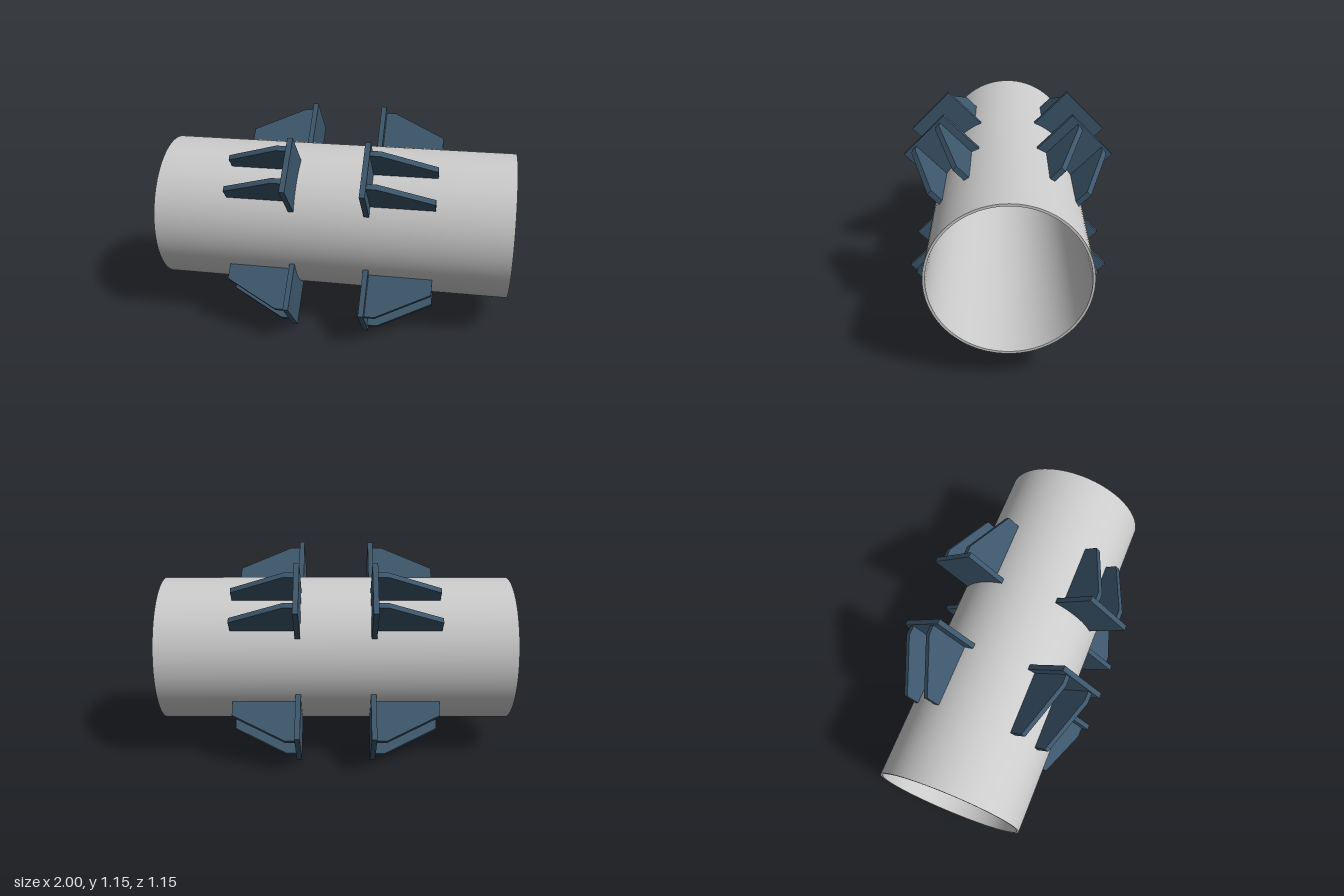
import * as THREE from 'three';
import { toCreasedNormals } from 'three/addons/utils/BufferGeometryUtils.js';

const AXIS_Y = 0.574;      // height of the pipe axis
const R_OUT = 0.416, R_IN = 0.403;

const grey = new THREE.MeshStandardMaterial({ color: 0xcccccc });
const blue = new THREE.MeshStandardMaterial({ color: 0x3d566b });

function extrude(shape, depth) {
  const g = new THREE.ExtrudeGeometry(shape, { depth, bevelEnabled: false, curveSegments: 16 });
  return toCreasedNormals(g, 0.5);
}

function addMesh(parent, name, geometry, material) {
  const mesh = new THREE.Mesh(geometry, material);
  mesh.name = name;
  parent.add(mesh);
  return mesh;
}

// Open tube with a thin wall, lying along x
function pipeGeometry() {
  const profile = [[R_OUT, -1], [R_OUT, 1], [R_IN, 1], [R_IN, -1], [R_OUT, -1]]
    .map(([r, y]) => new THREE.Vector2(r, y));
  const g = toCreasedNormals(new THREE.LatheGeometry(profile, 96), 0.5);
  return g.rotateZ(Math.PI / 2);
}

// Upright plate whose lower edge is cut to sit on the pipe
function plateGeometry(side) {
  const half = 0.158, top = 0.653, thick = 0.03, r = R_OUT - 0.004;
  const a = Math.asin(half / r);
  const s = new THREE.Shape();
  s.moveTo(half, top);
  s.lineTo(-half, top);
  s.lineTo(-half, r * Math.cos(a));
  s.absarc(0, 0, r, Math.PI / 2 + a, Math.PI / 2 - a, true);
  s.closePath();
  return extrude(s, thick).rotateY(Math.PI / 2).translate(side > 0 ? 0.195 : -0.225, 0, 0);
}

// Tapered gusset that braces the plate along the pipe
function ribGeometry(side, z) {
  const thick = 0.03;
  const points = [[0.222, 0.398], [0.58, 0.398], [0.58, 0.487], [0.28, 0.64], [0.222, 0.64]]
    .map(([x, y]) => new THREE.Vector2(side * x, y));
  return extrude(new THREE.Shape(points), thick).translate(0, 0, z - thick / 2);
}

export function createModel() {
  const model = new THREE.Group();
  model.name = 'bracketedPipe';

  addMesh(model, 'pipe', pipeGeometry(), grey).position.y = AXIS_Y;

  // Four pairs of brackets around the pipe, mirrored along it
  for (const side of [-1, 1]) {
    const plate = plateGeometry(side);
    const ribs = [-0.101, 0.089].map(z => ribGeometry(side, z));
    for (let i = 0; i < 4; i++) {
      const bracket = new THREE.Group();
      bracket.name = 'bracket';
      bracket.position.y = AXIS_Y;
      bracket.rotation.x = Math.PI / 4 + i * Math.PI / 2;
      addMesh(bracket, 'stopPlate', plate, blue);
      ribs.forEach(g => addMesh(bracket, 'gussetRib', g, blue));
      model.add(bracket);
    }
  }
  return model;
}
